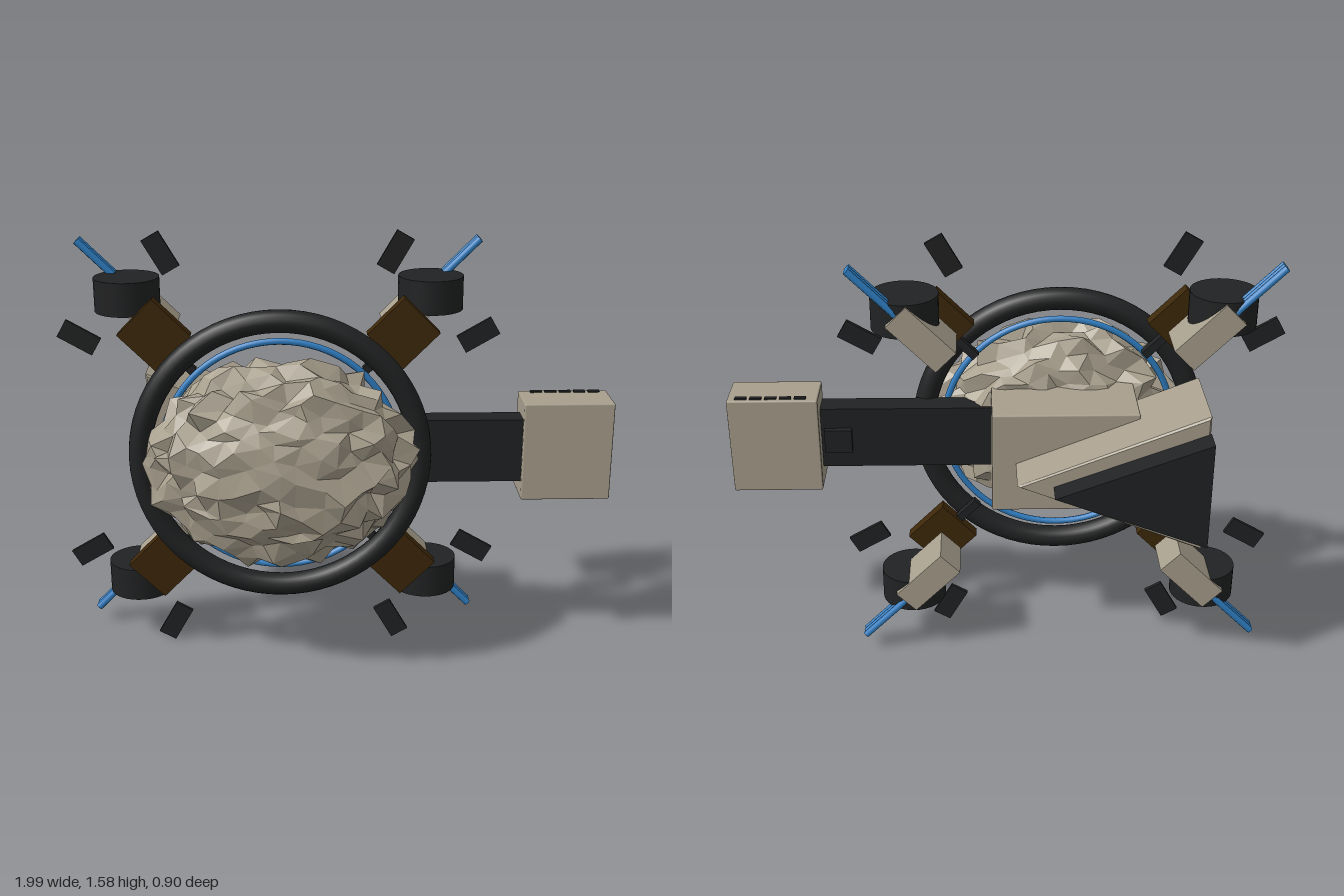
import * as THREE from 'three';
import { RoundedBoxGeometry } from 'three/addons/geometries/RoundedBoxGeometry.js';

const CX = -0.2, CY = 0.8; // centre of the ring

const material = (name, color, extra = {}) => {
  const m = new THREE.MeshStandardMaterial({ color, ...extra });
  m.name = name;
  return m;
};

// Small repeatable hash, so vertices sharing a position move together
const hash = (x, y, z, seed) => {
  const s = Math.sin(Math.round(x * 500) * 12.9898 + Math.round(y * 500) * 78.233
    + Math.round(z * 500) * 37.719 + seed * 19.19) * 43758.5453;
  return (s - Math.floor(s)) * 2 - 1;
};

// Jagged ellipsoid boulder
function rockGeometry() {
  const g = new THREE.IcosahedronGeometry(1, 6);
  const p = g.attributes.position, v = new THREE.Vector3();
  for (let i = 0; i < p.count; i++) {
    v.fromBufferAttribute(p, i);
    const [x, y, z] = v.toArray();
    v.multiplyScalar(1 + 0.085 * hash(x, y, z, 1));
    p.setXYZ(i,
      v.x * 0.455 + 0.02 * hash(x, y, z, 2),
      v.y * 0.36 + 0.02 * hash(x, y, z, 3),
      v.z * 0.228 + 0.015 * hash(x, y, z, 4));
  }
  g.computeVertexNormals();
  return g;
}

// Wedge with a flat side at x0 and its point at x1
function wedgeGeometry(x0, x1, halfHeight, z0, z1, bevel) {
  const shape = new THREE.Shape([
    new THREE.Vector2(x0 + bevel, CY - halfHeight + bevel * 1.5),
    new THREE.Vector2(x1 - bevel * 2, CY),
    new THREE.Vector2(x0 + bevel, CY + halfHeight - bevel * 1.5),
  ]);
  const g = new THREE.ExtrudeGeometry(shape, {
    depth: z1 - z0 - 2 * bevel, bevelEnabled: bevel > 0,
    bevelSize: bevel, bevelThickness: bevel, bevelSegments: 1,
  });
  return g.translate(0, 0, z0 + bevel);
}

export function createModel() {
  const model = new THREE.Group();
  model.name = 'ringStation';
  const stone = material('stone', 0xa89f8d, { flatShading: true });
  const panel = material('panel', 0xa89f8d);
  const black = material('black', 0x212223);
  const blue = material('blue', 0x2f7fc4);
  const brown = material('brown', 0x3d280a);

  const add = (parent, name, geometry, mat, x = 0, y = 0, z = 0) => {
    const mesh = new THREE.Mesh(geometry, mat);
    mesh.name = name;
    mesh.position.set(x, y, z);
    parent.add(mesh);
    return mesh;
  };
  const box = (w, h, d) => new THREE.BoxGeometry(w, h, d);

  // Boulder and the two rings around it
  add(model, 'boulder', rockGeometry(), stone, CX, CY + 0.005, 0.2);
  add(model, 'outerRing', new THREE.TorusGeometry(0.5, 0.041, 16, 72), black, CX, CY, 0.12);
  add(model, 'innerRing', new THREE.TorusGeometry(0.425, 0.012, 8, 72), blue, CX, CY, 0.11);

  // Rear hull
  add(model, 'rearBlock', new RoundedBoxGeometry(0.52, 0.38, 0.3, 1, 0.006), panel, -0.21, CY, -0.05);
  add(model, 'rearWedge', wedgeGeometry(-0.69, -0.03, 0.265, -0.37, -0.045, 0.008), panel);
  add(model, 'rearCap', wedgeGeometry(-0.69, -0.16, 0.2, -0.455, -0.368, 0), black);

  // Side arm with its pod
  add(model, 'arm', box(0.69, 0.235, 0.09), black, 0.335, CY + 0.005, 0.046);
  add(model, 'armHatch', box(0.1, 0.09, 0.03), black, 0.61, CY, -0.006);
  add(model, 'pod', new RoundedBoxGeometry(0.325, 0.366, 0.17, 1, 0.006), panel, 0.835, CY + 0.003, 0.025);
  for (let i = 0; i < 5; i++) {
    add(model, 'podVent', box(0.042, 0.007, 0.016), black, 0.735 + i * 0.053, 0.988, -0.038);
  }

  // Four diagonal modules, each with radial parts along local x
  for (const sx of [1, -1]) for (const sy of [1, -1]) {
    const arm = new THREE.Group();
    arm.name = 'module';
    arm.position.set(CX, CY, 0);
    arm.rotation.z = Math.atan2(sy, sx);
    model.add(arm);
    add(arm, 'spoke', box(0.14, 0.03, 0.03), black, 0.5, 0, 0.06);
    add(arm, 'bracket', box(0.185, 0.18, 0.05), brown, 0.62, 0, 0.052);
    add(arm, 'housing', box(0.235, 0.1, 0.17), panel, 0.69, 0, -0.14);
    for (const z of [-0.164, -0.184, -0.204]) {
      const rod = add(arm, 'rod', new THREE.CylinderGeometry(0.013, 0.013, 0.24, 8), blue, 0.91, 0, z);
      rod.rotation.z = Math.PI / 2;
    }
    add(model, 'tank', new THREE.CylinderGeometry(0.118, 0.118, 0.122, 32), black,
      CX + sx * 0.546, CY + sy * 0.55, -0.1);

    // Floating paddles on either side of the module
    for (const degrees of [30, 60]) {
      const a = THREE.MathUtils.degToRad(degrees);
      const x = sx * Math.cos(a), y = sy * Math.sin(a);
      const paddle = add(model, 'paddle', box(0.14, 0.07, 0.015), black, CX + x * 0.823, CY + y * 0.823, -0.012);
      paddle.rotation.z = Math.atan2(y, x);
    }
  }
  return model;
}
